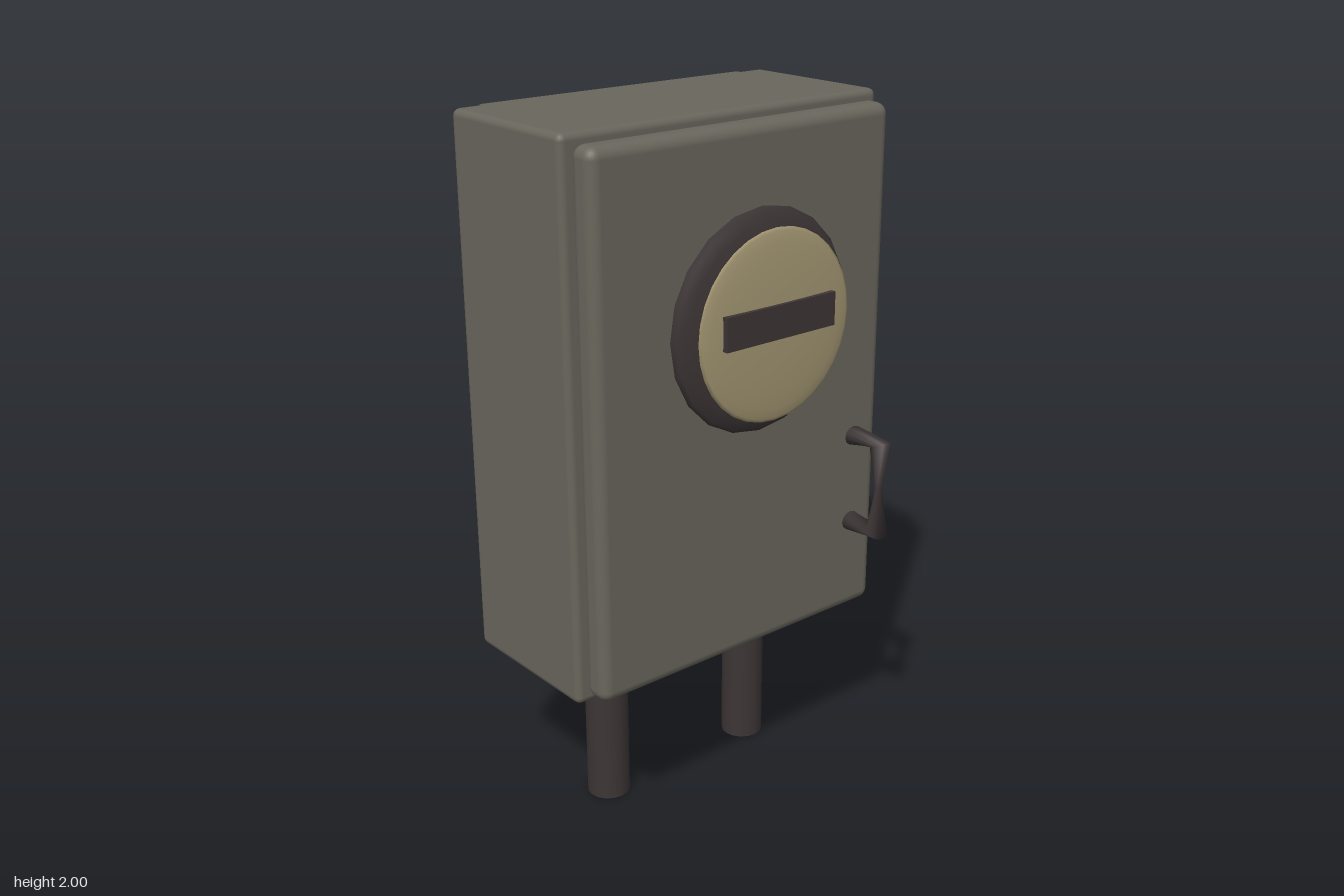
import * as THREE from 'three';
import { RoundedBoxGeometry } from 'three/addons/geometries/RoundedBoxGeometry.js';

const paint = (name, color) => Object.assign(new THREE.MeshStandardMaterial({ color }), { name });

// Tapering bow handle: closed loops, each an ellipse between an outer and an inner point in the (y, z) plane
function handleGeometry(sections, sides) {
  const pos = [], index = [];
  for (const [yo, zo, yi, zi, halfWidth] of sections) {
    for (let i = 0; i < sides; i++) {
      const a = (i / sides) * Math.PI * 2, c = (1 + Math.cos(a)) / 2;
      pos.push(halfWidth * Math.sin(a), yi + (yo - yi) * c, zi + (zo - zi) * c);
    }
  }
  const last = (sections.length - 1) * sides;
  for (let r = 0; r < sections.length - 1; r++) {
    for (let i = 0; i < sides; i++) {
      const a = r * sides + i, b = r * sides + (i + 1) % sides;
      index.push(a, a + sides, b, b, a + sides, b + sides);
    }
  }
  for (let i = 1; i < sides - 1; i++) {
    index.push(0, i, i + 1, last, last + i + 1, last + i);
  }
  const g = new THREE.BufferGeometry();
  g.setAttribute('position', new THREE.Float32BufferAttribute(pos, 3));
  g.setIndex(index);
  g.computeVertexNormals();
  return g;
}

export function createModel() {
  const model = new THREE.Group();
  model.name = 'meterCabinet';
  const metal = paint('greyMetal', 0x69665c);
  const dark = paint('darkMetal', 0x3d3536);
  const cream = paint('creamDial', 0xa39672);
  const handleMaterial = dark.clone();
  handleMaterial.side = THREE.DoubleSide;

  const add = (name, geometry, material, x, y, z) => {
    const mesh = new THREE.Mesh(geometry, material);
    mesh.name = name;
    mesh.position.set(x, y, z);
    model.add(mesh);
    return mesh;
  };

  // Cabinet shell, with a square-edged panel wrapping its back and bottom
  add('cabinet', new RoundedBoxGeometry(1.05, 1.52, 0.47, 2, 0.02), metal, 0, 1.24, -0.135);
  add('backPanel', new THREE.BoxGeometry(0.87, 1.522, 0.45), metal, 0, 1.238, -0.147);

  // Door
  add('door', new RoundedBoxGeometry(0.995, 1.47, 0.085, 3, 0.032), metal, 0, 1.24, 0.1375);

  // Round meter: bezel, dial and display bar
  const lens = (radius, depth, sides) =>
    new THREE.SphereGeometry(radius, sides, 12).rotateX(Math.PI / 2).scale(1, 1, depth / radius);
  add('meterBezel', lens(0.3, 0.045, 20), dark, 0, 1.478, 0.224);
  add('meterDial', lens(0.256, 0.016, 32), cream, 0, 1.478, 0.28);
  add('meterDisplay', new THREE.BoxGeometry(0.37, 0.09, 0.03), dark, 0, 1.495, 0.291);

  // Door handle, mirrored top to bottom about its waist
  const top = [
    [0.157, 0.238, 0.102, 0.238, 0.031],
    [0.143, 0.37, 0.122, 0.315, 0.031],
  ];
  const bottom = top.map(([a, b, c, d, w]) => [-a, b, -c, d, w]).reverse();
  const waist = [0, 0.35, 0, 0.335, 0.012];
  add('doorHandle', handleGeometry([...top, waist, ...bottom], 12), handleMaterial, 0.341, 0.953, 0);

  // Legs
  for (const side of [-1, 1]) {
    add(side > 0 ? 'leftLeg' : 'rightLeg', new THREE.CylinderGeometry(0.063, 0.063, 0.52, 16),
      dark, side * 0.263, 0.26, -0.13);
  }
  return model;
}
